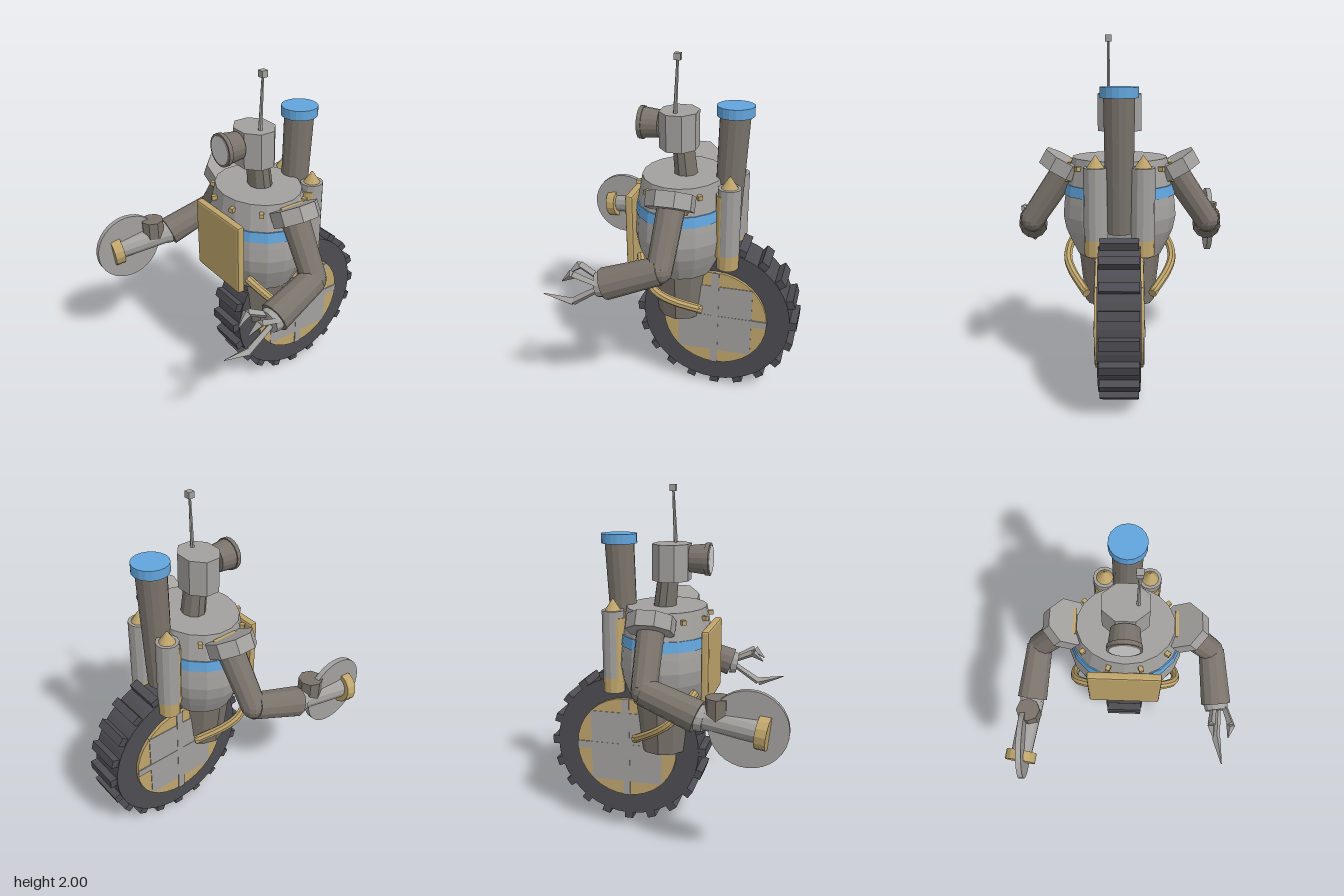
import * as THREE from 'three';
import { RoundedBoxGeometry } from 'three/addons/geometries/RoundedBoxGeometry.js';

const mat = (name, color) => Object.assign(new THREE.MeshStandardMaterial({ color }), { name });
const V = (x, y, z) => new THREE.Vector3(x, y, z);

export function createModel() {
  const steel = mat('steel', 0xa3a19e);
  const iron = mat('dark iron', 0x7a736b);
  const brass = mat('brass', 0xbfa56c);
  const blue = mat('blue paint', 0x62a5dc);
  const rubber = mat('rubber', 0x4d4c52);
  const glass = mat('lens glass', 0xd2d2d2);

  const root = new THREE.Group();
  root.name = 'oneWheeledRobot';
  root.position.x = 0.02;

  // Faceted normals for every part
  const flat = (geo) => {
    const g = geo.index ? geo.toNonIndexed() : geo;
    g.computeVertexNormals();
    return g;
  };
  const add = (name, geo, material, x = 0, y = 0, z = 0) => {
    const mesh = new THREE.Mesh(flat(geo), material);
    mesh.name = name;
    mesh.position.set(x, y, z);
    root.add(mesh);
    return mesh;
  };
  const box = (name, m, w, h, d, x, y, z) => add(name, new THREE.BoxGeometry(w, h, d), m, x, y, z);
  // Round bar from a (radius ra) to b (radius rb)
  const rod = (name, m, a, b, ra, rb = ra, sides = 12) => {
    const mesh = add(name, new THREE.CylinderGeometry(rb, ra, a.distanceTo(b), sides), m);
    mesh.position.copy(a).add(b).multiplyScalar(0.5);
    mesh.quaternion.setFromUnitVectors(V(0, 1, 0), b.clone().sub(a).normalize());
    return mesh;
  };
  const lathe = (name, m, pts, sides, zScale, z) => {
    const geo = new THREE.LatheGeometry(pts.map(([r, y]) => new THREE.Vector2(r, y)), sides);
    geo.scale(1, 1, zScale);
    return add(name, geo, m, 0, 0, z);
  };

  // Barrel torso with painted band, and the tapered hip below
  const bodyZ = -0.035;
  lathe('torso', steel, [[0, 0.77], [0.24, 0.77], [0.28, 0.85], [0.31, 0.92], [0.325, 1.0],
    [0.318, 1.08], [0.308, 1.15], [0.27, 1.33], [0, 1.33]], 18, 0.85, bodyZ);
  lathe('paintedBand', blue, [[0.305, 1.12], [0.318, 1.12], [0.309, 1.18], [0.29, 1.18]], 18, 0.85, bodyZ);
  lathe('hip', iron, [[0, 0.48], [0.202, 0.48], [0.235, 0.78], [0, 0.78]], 12, 0.78, -0.04);
  add('chestPanel', new RoundedBoxGeometry(0.412, 0.42, 0.045, 1, 0.012), brass, 0, 1.02, 0.228);

  // Rivets round the collar
  for (let i = 0; i < 10; i++) {
    const a = (i + 0.5) * Math.PI / 5;
    const stud = box('collarStud', brass, 0.025, 0.025, 0.03,
      Math.sin(a) * 0.285, 1.28, bodyZ + Math.cos(a) * 0.25);
    stud.rotation.y = a;
  }

  // Wheel: tyre, treads and spoked hub
  const wy = 0.477, wz = -0.257;
  const tyre = add('tyre', new THREE.CylinderGeometry(0.437, 0.437, 0.226, 40), rubber, 0, wy, wz);
  tyre.rotation.z = Math.PI / 2;
  for (let i = 0; i < 20; i++) {
    const a = i * Math.PI / 10;
    const lug = box('tread', rubber, 0.21, 0.052, 0.052,
      0, wy + Math.cos(a) * 0.451, wz + Math.sin(a) * 0.451);
    lug.rotation.x = a;
  }
  const hub = add('hubDisc', new THREE.CylinderGeometry(0.307, 0.307, 0.262, 32), brass, 0, wy, wz);
  hub.rotation.z = Math.PI / 2;
  box('hubPlate', steel, 0.27, 0.435, 0.435, 0, wy, wz);
  box('verticalSpoke', steel, 0.274, 0.61, 0.043, 0, wy, wz);
  box('crossSpoke', steel, 0.274, 0.043, 0.61, 0, wy, wz);

  // Neck and eight-sided head
  rod('neck', iron, V(0, 1.3, -0.05), V(0, 1.49, -0.03), 0.077, 0.07, 10).scale.z = 0.88;
  const headGeo = new THREE.CylinderGeometry(0.133, 0.133, 0.205, 8);
  headGeo.rotateY(Math.PI / 8).scale(0.93 / 0.924 * 0.99, 1, 0.84);
  add('head', headGeo, steel, 0, 1.578, -0.008);

  // Camera eye
  rod('eyeMount', steel, V(0, 1.597, 0.05), V(0, 1.597, 0.115), 0.045);
  rod('eyeBarrel', iron, V(0, 1.597, 0.1), V(0, 1.597, 0.19), 0.076, 0.086, 18);
  rod('eyeRim', iron, V(0, 1.597, 0.19), V(0, 1.597, 0.214), 0.092, 0.092, 18);
  rod('eyeLens', glass, V(0, 1.597, 0.21), V(0, 1.597, 0.218), 0.08, 0.08, 18);

  // Antenna
  rod('antennaRod', steel, V(0.062, 1.66, 0), V(0.062, 1.97, -0.015), 0.012, 0.007, 6);
  box('antennaTip', steel, 0.036, 0.036, 0.036, 0.062, 1.982, -0.016);

  // Exhaust stack
  rod('exhaustPipe', iron, V(0, 0.95, -0.285), V(0, 1.69, -0.317), 0.075, 0.085, 14);
  rod('exhaustCap', blue, V(0, 1.675, -0.318), V(0, 1.73, -0.318), 0.103, 0.103, 18);

  for (const s of [-1, 1]) {
    // Pressure tank with brass foot, front strip and cone
    const tx = s * 0.127, tz = -0.322;
    rod('tank', steel, V(tx, 0.92, tz), V(tx, 1.31, tz), 0.065);
    rod('tankFoot', brass, V(tx, 0.83, tz), V(tx, 0.92, tz), 0.063, 0.065);
    rod('tankStrip', brass, V(tx, 0.9, tz + 0.014), V(tx, 1.27, tz + 0.014), 0.06);
    rod('tankCone', brass, V(tx, 1.31, tz), V(tx, 1.375, tz), 0.047, 0.003);

    // Side pipe curving from panel to hip
    const path = new THREE.CatmullRomCurve3([V(s * 0.18, 0.87, 0.17), V(s * 0.285, 0.8, 0.12),
      V(s * 0.31, 0.72, 0.05), V(s * 0.285, 0.66, -0.03), V(s * 0.19, 0.565, -0.18)]);
    add('sidePipe', new THREE.TubeGeometry(path, 16, 0.025, 8), brass);
    rod('pipeEnd', brass, V(s * 0.2, 0.572, -0.165), V(s * 0.188, 0.562, -0.185), 0.026, 0.026, 8);

    // Shoulder plate, tilted up on its outer side
    const padGeo = new THREE.CylinderGeometry(0.135, 0.135, 0.085, 8);
    padGeo.rotateY(Math.PI / 8);
    add('shoulderPlate', padGeo, steel, s * 0.322, 1.28, -0.045).rotation.z = s * 0.51;
    box('shoulderBracket', brass, 0.035, 0.11, 0.15, s * 0.288, 1.255, -0.055);

    // Arm to the wrist
    const shoulder = V(s * 0.29, 1.28, -0.05), elbow = V(s * 0.505, 0.965, -0.035);
    const wrist = V(s * 0.54, 0.862, 0.26);
    rod('upperArm', iron, shoulder, elbow, 0.078, 0.07);
    add('elbow', new THREE.SphereGeometry(0.07, 12, 8), iron, elbow.x, elbow.y, elbow.z);
    rod('forearm', iron, elbow, wrist, 0.076, 0.088);
    rod('wrist', steel, wrist, V(s * 0.545, 0.855, 0.3), 0.073, 0.066);
  }

  // Left hand: three-fingered claw
  const fingers = [
    [V(0.525, 0.885, 0.29), V(0.505, 0.94, 0.405), V(0.52, 0.885, 0.47)],
    [V(0.59, 0.885, 0.29), V(0.615, 0.94, 0.405), V(0.605, 0.885, 0.47)],
    [V(0.555, 0.835, 0.29), V(0.558, 0.735, 0.44), V(0.58, 0.775, 0.6)],
  ];
  for (const [base, knuckle, tip] of fingers) {
    rod('fingerBase', steel, base, knuckle, 0.018, 0.022, 4);
    rod('fingerTip', steel, knuckle, tip, 0.026, 0.003, 4);
  }

  // Right hand: motor-driven saw
  rod('sawArm', steel, V(-0.535, 0.865, 0.28), V(-0.585, 0.828, 0.6), 0.066, 0.06);
  rod('sawMotor', iron, V(-0.545, 0.87, 0.365), V(-0.545, 0.98, 0.365), 0.068, 0.068, 8);
  rod('sawClamp', brass, V(-0.582, 0.829, 0.575), V(-0.59, 0.823, 0.632), 0.088, 0.088, 14);
  rod('sawBlade', steel, V(-0.59, 0.835, 0.527), V(-0.56, 0.835, 0.527), 0.204, 0.204, 32);

  return root;
}
